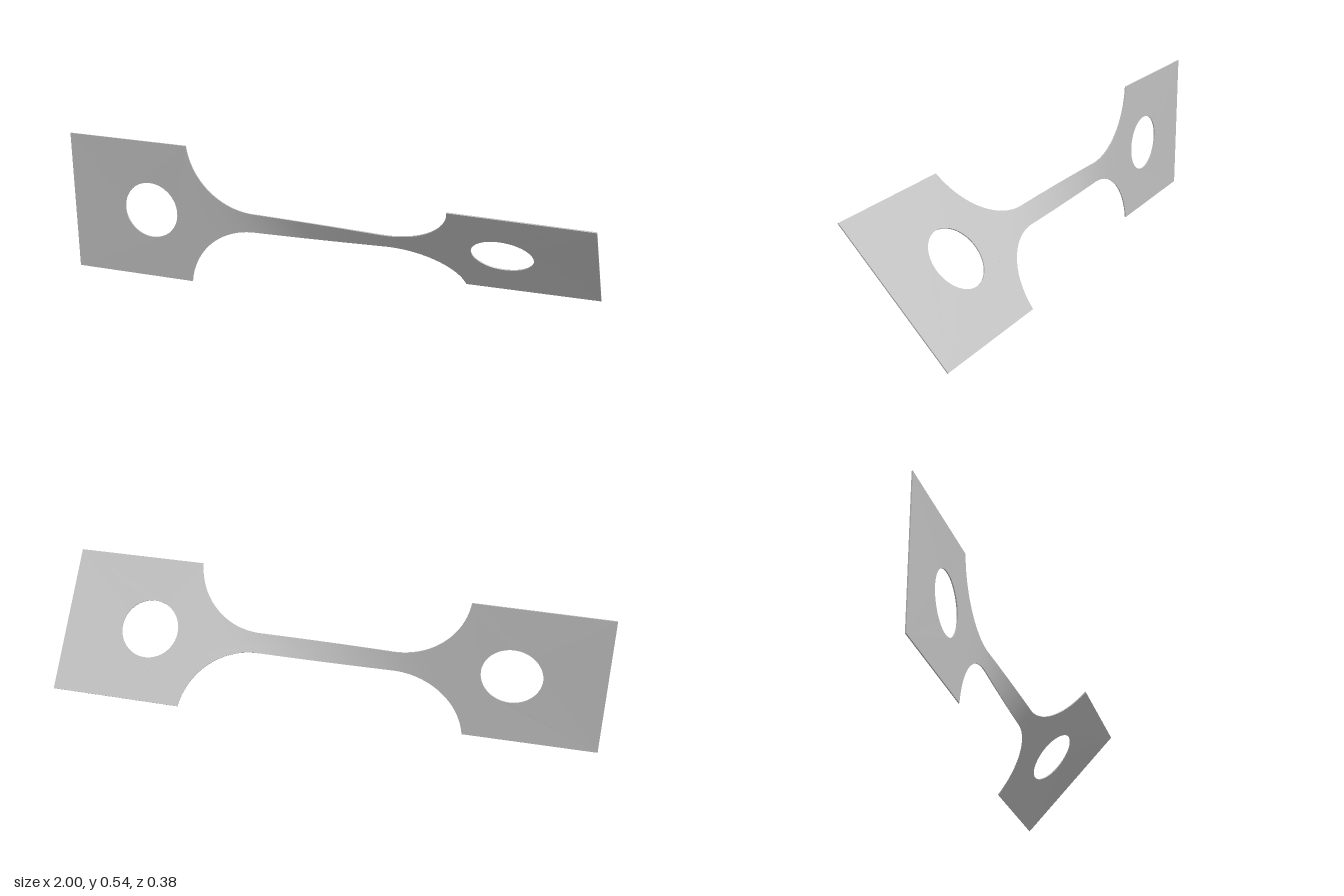
import * as THREE from 'three';

const HALF_H = 0.272;   // half width of the end plates
const NECK_H = 0.037;   // half width of the neck
const NECK_X = 0.25;    // where the shoulder arcs meet the neck
const R = 0.265;        // shoulder arc radius
const T = 0.004;        // sheet thickness
const ARC = Math.acos((R + NECK_H - HALF_H) / R);
const PLATE_X = NECK_X + R * Math.sin(ARC);
const rad = THREE.MathUtils.degToRad;

// Twist about x: almost none in the plates, most of it along the neck
function twist(x) {
  const a = Math.abs(x);
  let d;
  if (a <= NECK_X) d = 15.5 * a / NECK_X;
  else if (a <= PLATE_X) {
    const t = (a - NECK_X) / (PLATE_X - NECK_X);
    d = 15.5 + 5 * (1 - (1 - t) ** 3);
  } else d = 20.5 + 1.2 * (a - PLATE_X) / (1 - PLATE_X);
  return rad(21.7 + Math.sign(x) * d);
}

function applyTwist(geo) {
  const p = geo.attributes.position;
  for (let i = 0; i < p.count; i++) {
    const x = p.getX(i), y = p.getY(i), z = p.getZ(i);
    const c = Math.cos(twist(x)), s = Math.sin(twist(x));
    p.setXYZ(i, x, y * c - z * s, y * s + z * c);
  }
  geo.computeVertexNormals();
  return geo;
}

// Neck with both flared shoulders: a box whose columns follow the outline
function neckGeometry() {
  const geo = new THREE.BoxGeometry(2, 2, T, 80, 6, 1);
  const p = geo.attributes.position;
  for (let i = 0; i < p.count; i++) {
    const u = p.getX(i), a = Math.abs(u);
    let x, h;
    if (a <= 0.4) {
      x = NECK_X * a / 0.4;
      h = NECK_H;
    } else {
      const t = ARC * (a - 0.4) / 0.6;
      x = NECK_X + R * Math.sin(t);
      h = NECK_H + R * (1 - Math.cos(t));
    }
    p.setXYZ(i, Math.sign(u) * x, p.getY(i) * h, p.getZ(i));
  }
  return applyTwist(geo);
}

// End plate with a round hole
function plateGeometry(side) {
  const x0 = side > 0 ? PLATE_X : -1, x1 = side > 0 ? 1 : -PLATE_X;
  const shape = new THREE.Shape([
    new THREE.Vector2(x0, -HALF_H), new THREE.Vector2(x1, -HALF_H),
    new THREE.Vector2(x1, HALF_H), new THREE.Vector2(x0, HALF_H),
  ]);
  shape.holes.push(new THREE.Path().absarc(side * 0.672, 0, 0.109, 0, Math.PI * 2, true));
  const geo = new THREE.ExtrudeGeometry(shape, { depth: T, bevelEnabled: false, curveSegments: 32 });
  geo.translate(0, 0, -T / 2);
  return applyTwist(geo);
}

export function createModel() {
  const group = new THREE.Group();
  group.name = 'twistedTestStrip';
  const metal = new THREE.MeshStandardMaterial({ color: 0xc0c0c0 });
  metal.name = 'plain grey metal';
  const add = (name, geo) => {
    const mesh = new THREE.Mesh(geo, metal);
    mesh.name = name;
    mesh.position.y = HALF_H;
    group.add(mesh);
  };
  add('twistedNeck', neckGeometry());
  add('rightEndPlate', plateGeometry(-1));
  add('leftEndPlate', plateGeometry(1));
  return group;
}
